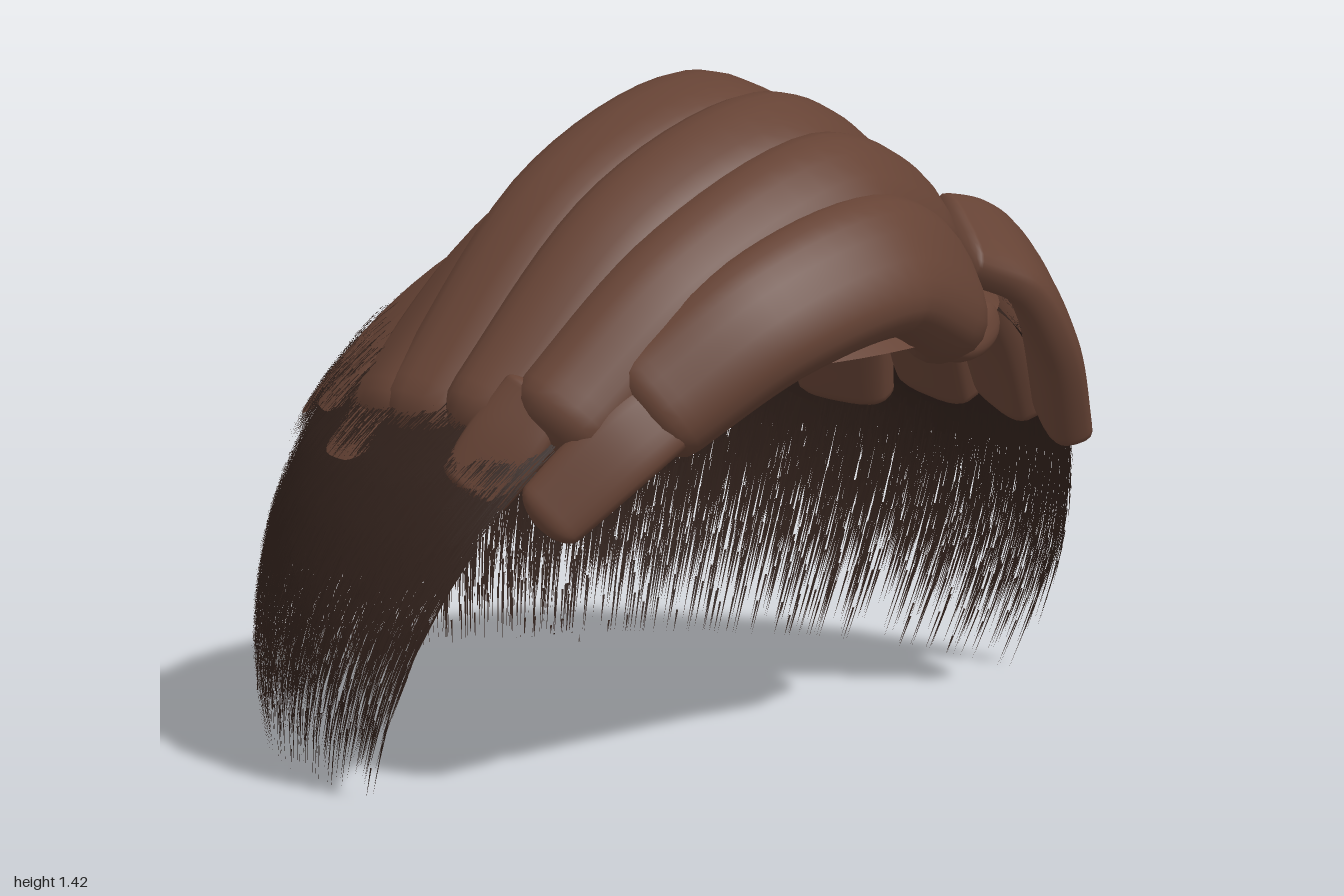
import * as THREE from 'three';

const brown = new THREE.MeshStandardMaterial({ color: 0x664335, side: THREE.DoubleSide });
brown.name = 'brown hair';
const dark = new THREE.MeshStandardMaterial({ color: 0x32221c, side: THREE.DoubleSide });
dark.name = 'dark stubble';

const headCore = new THREE.Vector3(0, 0.25, 0.05);
const lockCore = new THREE.Vector3(0, 0.65, 0);
const napeCore = new THREE.Vector3(0, 0.88, 0.2);

let seed = 7;
const rnd = () => (seed = (seed * 16807) % 2147483647) / 2147483647;

// Point on the head ellipsoid at height y; angle a is 0 at the nape, positive to +x
function skin(y, a, lift = 1) {
  const r = Math.sqrt(Math.max(0, 1 - ((y - 0.25) / 0.92) ** 2)) * lift;
  return new THREE.Vector3(r * Math.sin(a), 0.25 + (y - 0.25) * lift, 0.05 - 0.81 * r * Math.cos(a));
}

// Point on the head ellipsoid above x, z
function above(x, z, lift) {
  const y = 0.92 * Math.sqrt(1 - x * x - ((z - 0.05) / 0.81) ** 2);
  return new THREE.Vector3(x, y, z - 0.05).multiplyScalar(lift).add(headCore);
}

// Angle at which the slanted side hairline is met at height y
function hairline(y) {
  const r = Math.sqrt(1 - ((y - 0.25) / 0.92) ** 2);
  return Math.acos(THREE.MathUtils.clamp((-0.03 - 0.4 * y) / (0.81 * r), -1, 1));
}

// Grid surface from a point rule; wrap joins the last column to the first
function grid(rows, cols, wrap, point) {
  const pos = [], idx = [], m = wrap ? cols : cols + 1;
  for (let i = 0; i <= rows; i++) for (let j = 0; j < m; j++) pos.push(...point(i / rows, j / cols).toArray());
  for (let i = 0; i < rows; i++) for (let j = 0; j < cols; j++) {
    const k = (j + 1) % m, a = i * m + j, b = i * m + k, c = a + m, d = b + m;
    idx.push(a, c, b, b, c, d);
  }
  const g = new THREE.BufferGeometry();
  g.setAttribute('position', new THREE.Float32BufferAttribute(pos, 3));
  g.setIndex(idx);
  g.computeVertexNormals();
  return g;
}

// Rounded lock whose outer ridge follows the points; w and t are half width and half thickness
function lock(points, w, t, { taper = 0.85, cap = 0.1, core = lockCore, square = 0.8 } = {}) {
  const curve = new THREE.CatmullRomCurve3(points.map(p => (p.isVector3 ? p : new THREE.Vector3(...p))));
  const pw = v => Math.sign(v) * Math.abs(v) ** square;
  return grid(44, 22, true, (u, v) => {
    // sections crowd toward the ends so they round off
    const s = 0.5 - 0.5 * Math.cos(Math.PI * u);
    const p = curve.getPoint(s), T = curve.getTangent(s);
    const N = p.clone().sub(core);
    N.addScaledVector(T, -N.dot(T)).normalize();
    const L = T.clone().cross(N);
    const e = Math.min(s / cap, (1 - s) / cap, 1);
    const round = Math.max(0.01, Math.sqrt(1 - (1 - e) ** 2));
    const k = round * (1 - (1 - taper) * Math.abs(2 * s - 1) ** 2);
    const a = v * Math.PI * 2;
    return p.addScaledVector(L, w * k * pw(Math.cos(a))).addScaledVector(N, t * (round * pw(Math.sin(a)) - 1));
  });
}

// Thin tapering hairs lying along the head, from a base height down to a tip
function hairs(count, rule) {
  const pos = [];
  for (let i = 0; i < count; i++) {
    const s = rnd() * 2 - 1, { y, len, lift, width } = rule();
    const tip = Math.max(0.07 * (1 - Math.abs(s)), y - len);
    const a = s * hairline(y), d = width / 2;
    pos.push(...skin(y, a - d, lift).toArray(), ...skin(tip, s * hairline(tip), lift + 0.004).toArray(),
      ...skin(y, a + d, lift).toArray());
  }
  const g = new THREE.BufferGeometry();
  g.setAttribute('position', new THREE.Float32BufferAttribute(pos, 3));
  g.computeVertexNormals();
  return g;
}

export function createModel() {
  const group = new THREE.Group();
  group.name = 'hair';
  const add = (name, geometry, material) => {
    const mesh = new THREE.Mesh(geometry, material);
    mesh.name = name;
    group.add(mesh);
  };

  // Cropped back and sides, open at the face
  add('stubbleShell', grid(24, 80, false, (u, v) => {
    const y = 0.92 - 0.43 * u;
    return skin(y, (v * 2 - 1) * hairline(y) * 0.985, 0.988);
  }), dark);
  add('fadingHairs', hairs(14000, () => ({
    y: 0.57 - 0.54 * (1 - Math.cbrt(rnd())), len: 0.06 + 0.1 * rnd(), lift: 0.985 + 0.012 * rnd(), width: 0.005,
  })), dark);
  add('stubbleHairs', hairs(6000, () => ({
    y: 0.52 + 0.34 * rnd(), len: 0.06 + 0.05 * rnd(), lift: 0.99 + 0.01 * rnd(), width: 0.006,
  })), dark);
  add('blendHairs', hairs(3600, () => ({
    y: 0.72 + 0.2 * rnd() * rnd() + 0.04 * rnd(), len: 0.05 + 0.04 * rnd(), lift: 1.008 + 0.01 * rnd(), width: 0.007,
  })), dark);

  // Solid crown beneath the locks
  add('crown', grid(16, 64, true, (u, v) => skin(1.17 - 0.28 * u * u, v * Math.PI * 2, 1.006)), brown);

  // Thick locks combed across the top, bowed forward in the middle
  const bands = [
    [[[0.38, 0.97, 0.53], [0.25, 1.04, 0.65], [0, 1.14, 0.715], [-0.34, 1.06, 0.67], [-0.64, 0.84, 0.53]], 0.155, 0.1],
    [[[0.43, 1.06, 0.41], [0.28, 1.18, 0.51], [0, 1.285, 0.55], [-0.43, 1.13, 0.5], [-0.79, 0.81, 0.4]], 0.15, 0.12],
    [[[0.45, 1.08, 0.2], [0.29, 1.26, 0.31], [0, 1.375, 0.36], [-0.42, 1.23, 0.31], [-0.85, 0.79, 0.23]], 0.15, 0.13],
    [[[0.46, 1.08, -0.01], [0.28, 1.29, 0.09], [0, 1.415, 0.13], [-0.42, 1.27, 0.09], [-0.87, 0.78, 0.04]], 0.155, 0.14],
  ];
  bands.forEach(([pts, w, t], i) => add('topLock' + (i + 1), lock(pts, w, t, { cap: 0.04 }), brown));
  // Rearmost top lock slopes down into the crown
  add('topLock5', lock([[0.45, 1.06, -0.2], [0.28, 1.2, -0.12], [0, 1.31, -0.06], [-0.42, 1.16, -0.1], [-0.83, 0.77, -0.15]],
    0.18, 0.11, { cap: 0.04, core: napeCore }), brown);

  // Small curl tucked under the fringe beside the parting
  add('fringeCurl', lock([[0.2, 0.92, 0.58], [0.32, 0.89, 0.6], [0.45, 0.92, 0.55]], 0.05, 0.04, { cap: 0.3 }), brown);

  // Locks falling from the parting down the left side
  const side = [
    [[[0.4, 1.1, 0.47], [0.57, 1.03, 0.485], [0.71, 0.85, 0.475], [0.82, 0.61, 0.42]], 0.135, 0.05],
    [[[0.4, 1.12, 0.24], [0.6, 1.045, 0.24], [0.775, 0.85, 0.22], [0.905, 0.62, 0.18]], 0.125, 0.05],
    [[[0.4, 1.13, 0.03], [0.61, 1.045, 0.02], [0.785, 0.85, -0.01], [0.925, 0.62, -0.06]], 0.125, 0.05],
    [[[0.42, 1.1, -0.15], [0.6, 1.01, -0.18], [0.75, 0.8, -0.23], [0.845, 0.58, -0.28]], 0.125, 0.045],
  ];
  side.forEach(([pts, w, t], i) =>
    add('leftSideLock' + (i + 1), lock(pts, w, t, { taper: 0.82, cap: 0.035, square: 0.65 }), brown));

  // Curved locks sweeping backward behind the parting, lying close to the crown
  const swept = [[0.69, -0.04], [0.65, -0.14], [0.57, -0.24], [0.45, -0.36]].map(([x, z]) => above(x, z, 1.065));
  add('sweptLock', lock(swept, 0.1, 0.045, { taper: 0.7, cap: 0.2, core: headCore }), brown);
  const crest = [[0.43, -0.24], [0.27, -0.28], [0.1, -0.15], [-0.12, -0.11], [-0.4, -0.15]].map(([x, z]) => above(x, z, 1.025));
  add('crownLock', lock(crest, 0.1, 0.03, { taper: 0.7, cap: 0.15, core: headCore }), brown);

  // Slim locks hanging below the band ends on the right side
  add('rightSideLock1', lock([[-0.5, 0.89, 0.58], [-0.66, 0.78, 0.52], [-0.81, 0.61, 0.41]], 0.09, 0.035,
    { cap: 0.08, square: 0.65 }), brown);
  add('rightSideLock2', lock([[-0.73, 0.89, 0.34], [-0.8, 0.78, 0.3], [-0.86, 0.66, 0.24]], 0.09, 0.035,
    { cap: 0.08, square: 0.65 }), brown);

  // Flat locks fanning down the back, their tips lifting off the stubble
  for (let i = 0; i < 10; i++) {
    const a0 = 0.95 - i * 0.26, end = 0.63 + 0.035 * (i % 3) + 0.006 * i;
    add('backLock' + (i + 1), grid(14, 10, false, (u, v) => {
      const e = 2 * v - 1, y = 1.06 + (end - 1.06) * u * (1 - 0.07 * e ** 4);
      return skin(y, a0 + 0.05 * u + e * 0.128 * (1 - 0.16 * u * u), 1.004 + 0.014 * u * u - 0.01 * e ** 6);
    }), brown);
  }
  return group;
}
